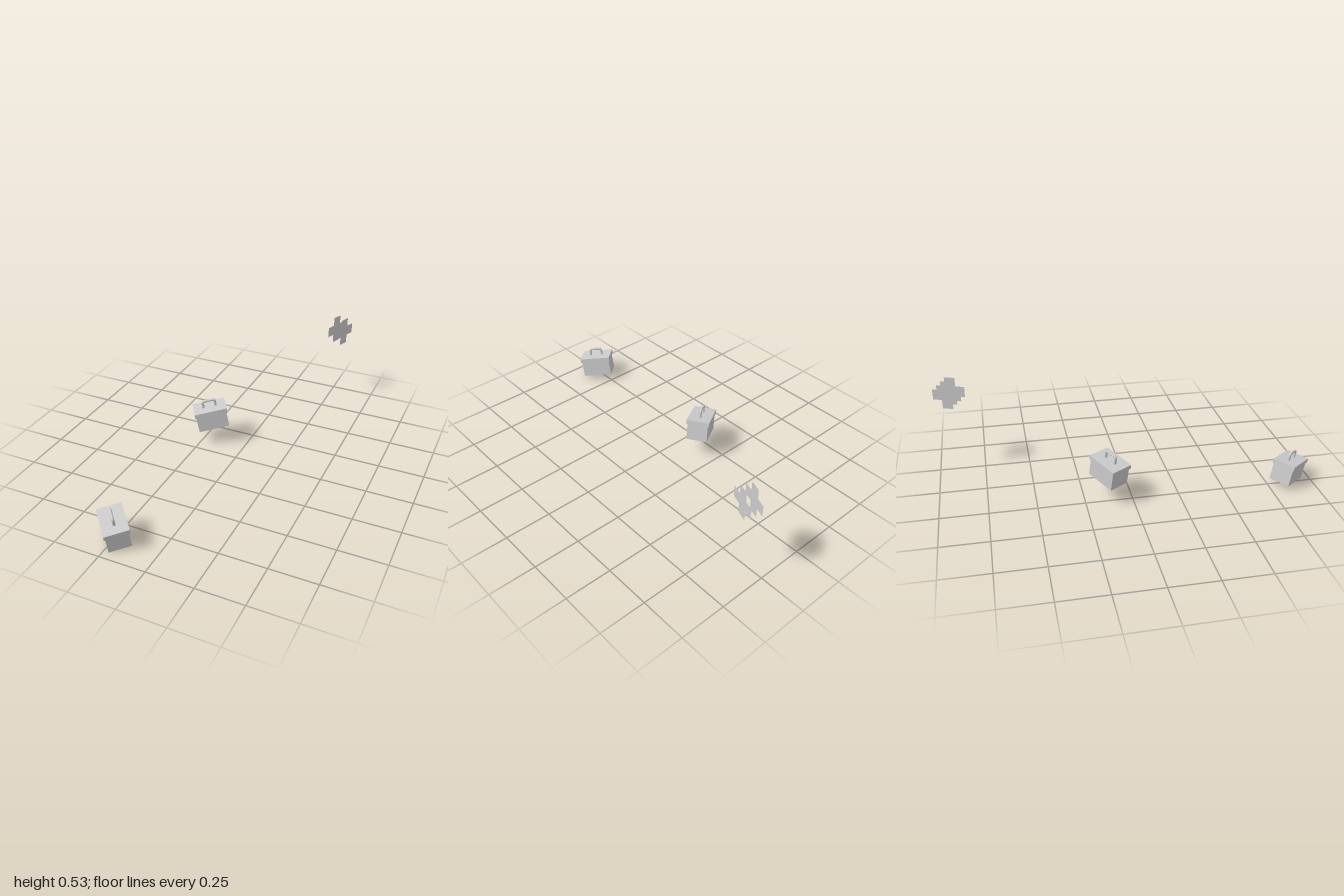
import * as THREE from 'three';

const grey = new THREE.MeshStandardMaterial({ color: 0xcccccc });
const greyThin = new THREE.MeshStandardMaterial({ color: 0xcccccc, side: THREE.DoubleSide });

function add(parent, name, geometry, material = grey) {
  const mesh = new THREE.Mesh(geometry, material);
  mesh.name = name;
  parent.add(mesh);
  return mesh;
}

// Flat plus-shaped panel in the XY plane
function crossGeometry(size, bar) {
  const a = size / 2, b = bar / 2;
  const pts = [];
  for (let i = 0; i < 4; i++) {
    const c = Math.round(Math.cos(i * Math.PI / 2)), s = Math.round(Math.sin(i * Math.PI / 2));
    for (const [x, y] of [[a, -b], [a, b], [b, b]]) {
      pts.push(new THREE.Vector2(x * c - y * s, x * s + y * c));
    }
  }
  return new THREE.ShapeGeometry(new THREE.Shape(pts));
}

// Bail handle: two legs, rounded corners, straight grip
function handleGeometry() {
  const w = 0.035, h = 0.039, r = 0.014;
  const v = (x, y) => new THREE.Vector3(x, y, 0);
  const path = new THREE.CurvePath();
  path.add(new THREE.LineCurve3(v(-w, -0.004), v(-w, h - r)));
  path.add(new THREE.QuadraticBezierCurve3(v(-w, h - r), v(-w, h), v(-w + r, h)));
  path.add(new THREE.LineCurve3(v(-w + r, h), v(w - r, h)));
  path.add(new THREE.QuadraticBezierCurve3(v(w - r, h), v(w, h), v(w, h - r)));
  path.add(new THREE.LineCurve3(v(w, h - r), v(w, -0.004)));
  return new THREE.TubeGeometry(path, 40, 0.0072, 12, false);
}

// Case whose local origin is the centre of the lid's top face
function makeCase(name, origin, along, up) {
  const box = new THREE.Group();
  box.name = name;
  const L = 0.184, D = 0.1255, lidH = 0.0225, rimH = 0.004, bodyH = 0.0925;
  add(box, 'lid', new THREE.BoxGeometry(L, lidH, D)).position.y = -lidH / 2;
  add(box, 'rim', new THREE.BoxGeometry(L - 0.006, rimH, D - 0.006)).position.y = -lidH - rimH / 2;
  add(box, 'body', new THREE.BoxGeometry(L - 0.012, bodyH, D - 0.012)).position.y = -lidH - rimH - bodyH / 2;
  add(box, 'handle', handleGeometry());

  const x = new THREE.Vector3(...along).normalize();
  const z = new THREE.Vector3().crossVectors(x, new THREE.Vector3(...up)).normalize();
  const y = new THREE.Vector3().crossVectors(z, x);
  box.quaternion.setFromRotationMatrix(new THREE.Matrix4().makeBasis(x, y, z));
  box.position.set(...origin);
  return box;
}

export function createModel() {
  const model = new THREE.Group();
  model.name = 'medicalCases';

  // Two tilted cases
  const front = makeCase('frontCase', [-0.2355, 0.137, 0.88], [0.674, -0.147, 0.723], [0.016, 0.981, 0.184]);
  const rear = makeCase('rearCase', [-0.212, 0.222, -0.111], [0.834, 0.174, -0.524], [-0.148, 0.985, 0.092]);
  model.add(front, rear);

  // Cross on the front case's long face
  const badge = add(front, 'caseCross', crossGeometry(0.068, 0.0255), greyThin);
  badge.position.set(-0.004, -0.063, (0.1255 - 0.012) / 2 + 0.0007);

  // Two parallel upright crosses floating at the back
  for (const [x, z] of [[0.263, -0.921], [0.315, -0.901]]) {
    const cross = add(model, 'floatingCross', crossGeometry(0.16, 0.06), greyThin);
    cross.position.set(x, 0.45, z);
    cross.rotation.y = Math.atan2(0.94, 0.34);
  }
  return model;
}
